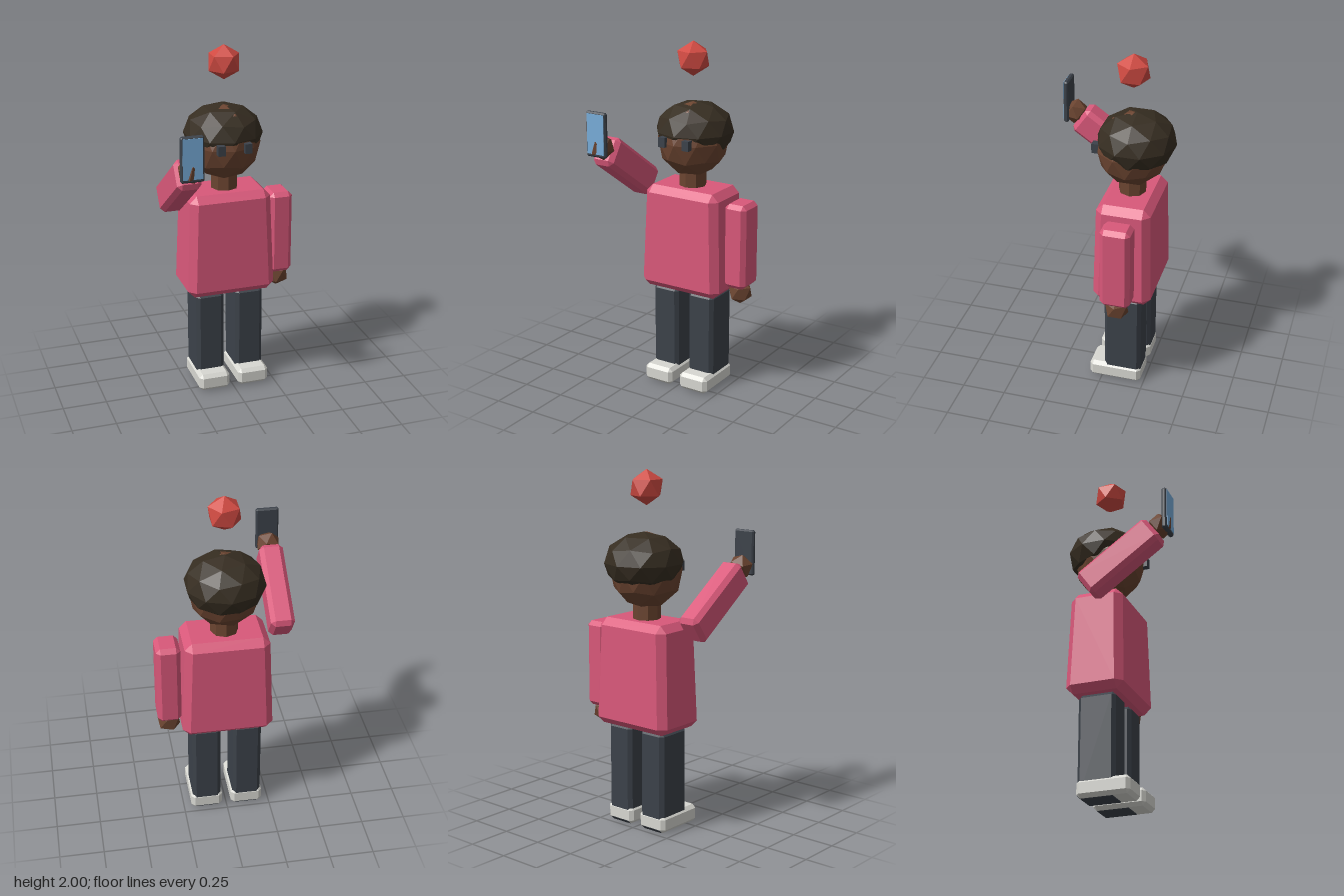
import * as THREE from 'three';
import { ConvexGeometry } from 'three/addons/geometries/ConvexGeometry.js';

const paint = (name, color) => {
  const m = new THREE.MeshStandardMaterial({ color });
  m.name = name;
  m.flatShading = true;
  return m;
};

// Box with chamfered edges; the top may be narrower than the bottom
function chamferBox(w, h, d, c, topScale = 1) {
  const pts = [];
  for (const sx of [-1, 1]) for (const sy of [-1, 1]) for (const sz of [-1, 1]) {
    const k = sy > 0 ? topScale : 1;
    const x = w / 2 * k, y = h / 2, z = d / 2 * k;
    pts.push(
      new THREE.Vector3(sx * x, sy * (y - c), sz * (z - c)),
      new THREE.Vector3(sx * (x - c), sy * y, sz * (z - c)),
      new THREE.Vector3(sx * (x - c), sy * (y - c), sz * z));
  }
  return new ConvexGeometry(pts);
}

// Faceted ball with one vertex pointing straight up
const facetBall = (r, detail = 0) =>
  new THREE.IcosahedronGeometry(r, detail)
    .rotateX(-Math.atan((1 + Math.sqrt(5)) / 2)).rotateY(Math.PI / 2);

export function createModel() {
  const model = new THREE.Group();
  const sweater = paint('sweater pink', 0xd9587a);
  const dark = paint('dark slate', 0x3c424a);
  const shoeGrey = paint('shoe grey', 0xd8d8d2);
  const skin = paint('skin brown', 0x6b4430);
  const hairBrown = paint('hair brown', 0x362d21);
  const red = paint('marker red', 0xd04a42);
  const blue = paint('screen blue', 0x78aedb);
  const Z = -0.125; // body centre line

  const add = (name, geo, mat, x, y, z, parent = model) => {
    const mesh = new THREE.Mesh(geo, mat);
    mesh.name = name;
    mesh.position.set(x, y, z);
    parent.add(mesh);
    return mesh;
  };

  // Torso and neck
  add('torso', chamferBox(0.51, 0.605, 0.332, 0.04, 0.92), sweater, 0, 0.883, Z);
  add('neck', new THREE.CylinderGeometry(0.077, 0.077, 0.14, 8).rotateY(Math.PI / 2), skin, 0, 1.23, Z);

  // Head and hair cap
  add('head', facetBall(1, 1).scale(0.202, 0.212, 0.202), skin, 0, 1.452, Z);
  add('hair', facetBall(1, 1).scale(0.222, 0.165, 0.22), hairBrown, 0, 1.5, -0.147);

  // Legs, shoes and eyes, mirrored
  for (const [side, s] of [['left', 1], ['right', -1]]) {
    add(side + 'Leg', chamferBox(0.163, 0.58, 0.215, 0.02), dark, s * 0.117, 0.29, -0.1225);
    add(side + 'Shoe', chamferBox(0.182, 0.1, 0.302, 0.02), shoeGrey, s * 0.117, 0.054, -0.081);
    add(side + 'Eye', new THREE.BoxGeometry(0.041, 0.055, 0.04), dark, s * 0.076, 1.463, 0.061);
  }

  // Arms hang from the shoulder; the right one is swung forward and up
  for (const [side, x, y, angle] of [['left', 0.318, 1.135, 0], ['right', -0.32, 1.15, -2.18]]) {
    const arm = new THREE.Group();
    arm.name = side + 'Arm';
    arm.position.set(x, y, angle ? -0.137 : Z);
    arm.rotation.x = angle;
    model.add(arm);
    add(side + 'Sleeve', chamferBox(0.134, 0.49, 0.17, 0.024), sweater, 0, -0.245, 0, arm);
    add(side + 'Hand', facetBall(0.072), skin, 0, -0.528, 0, arm);
  }

  // Phone in the raised hand
  const phone = new THREE.Group();
  phone.name = 'phone';
  phone.position.set(-0.32, 1.53, 0.336);
  model.add(phone);
  add('phoneBody', chamferBox(0.128, 0.25, 0.028, 0.008), dark, 0, 0, 0, phone);
  add('phoneScreen', new THREE.BoxGeometry(0.108, 0.222, 0.006), blue, 0, 0.004, 0.014, phone);

  // Floating marker above the head
  add('marker', facetBall(0.0975), red, 0, 1.9025, Z);

  return model;
}
